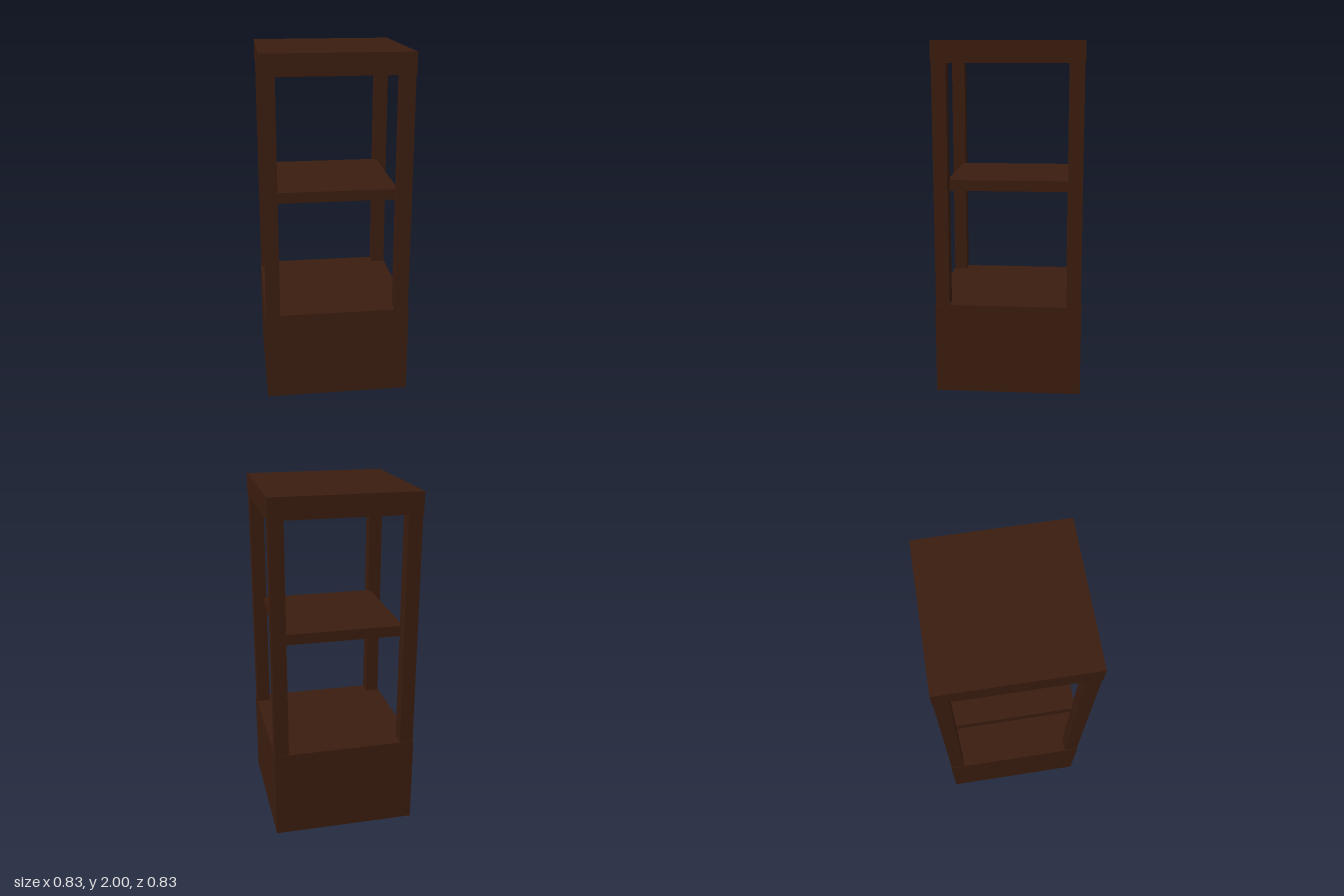
import * as THREE from 'three';

export function createModel() {
  const group = new THREE.Group();
  const wood = new THREE.MeshStandardMaterial({ color: 0x3a1c0f });

  // Square block of the given width, spanning y0 to y1
  function block(name, width, y0, y1, x = 0, z = 0) {
    const mesh = new THREE.Mesh(new THREE.BoxGeometry(width, y1 - y0, width), wood);
    mesh.name = name;
    mesh.position.set(x, (y0 + y1) / 2, z);
    group.add(mesh);
  }

  const baseTop = 0.523, roofBottom = 1.88;
  block('base', 0.833, 0, baseTop);
  block('topSlab', 0.833, roofBottom, 2);
  block('shelf', 0.697, 1.175, 1.236);

  // Four corner posts, set just inside the edge of the base
  const inner = 0.333, outer = 0.413, centre = (inner + outer) / 2;
  for (const [sx, side] of [[1, 'Left'], [-1, 'Right']]) {
    for (const [sz, end] of [[1, 'front'], [-1, 'back']]) {
      block(`${end}${side}Post`, outer - inner, baseTop, roofBottom, sx * centre, sz * centre);
    }
  }
  return group;
}
